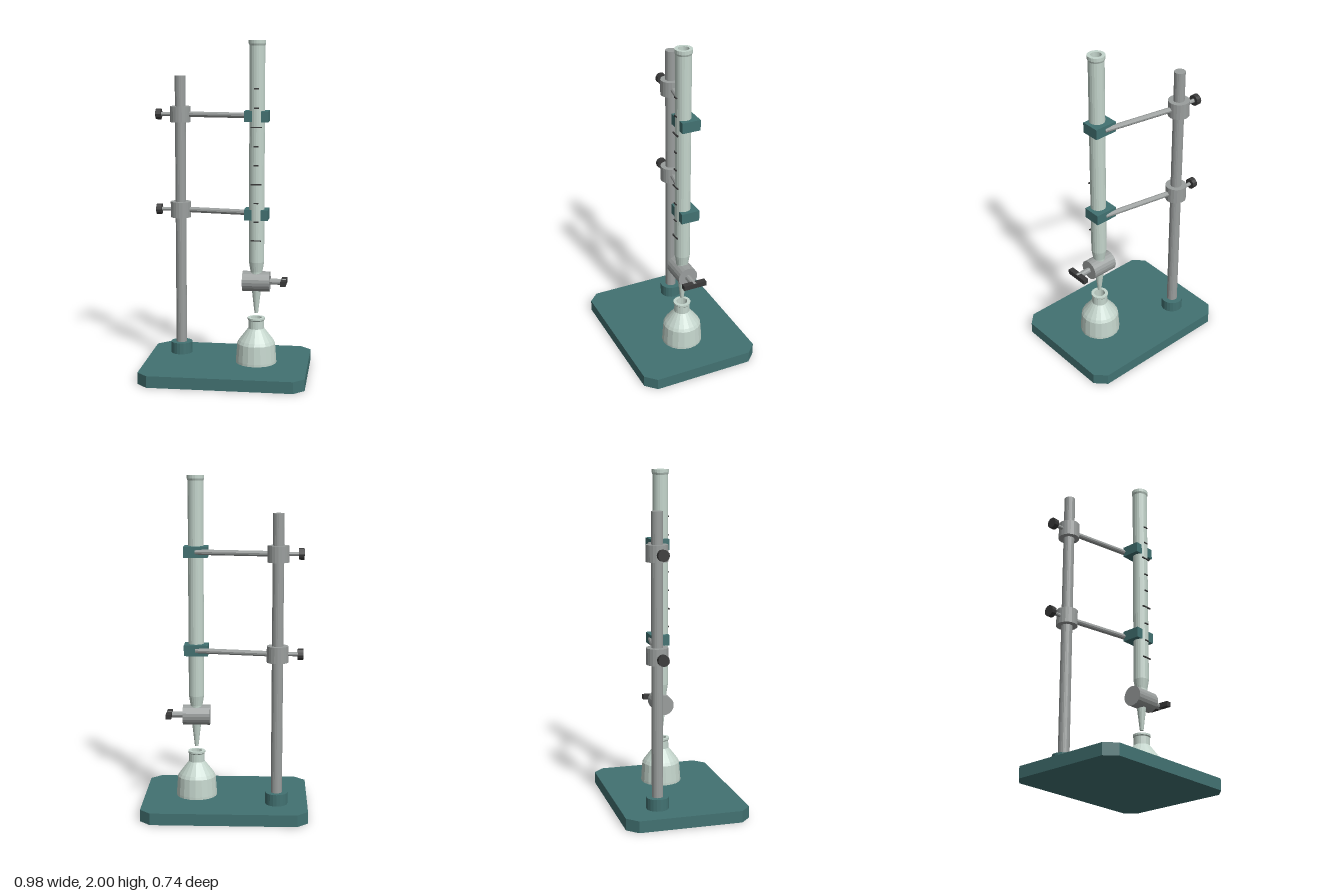
import * as THREE from 'three';

const paint = (color) => new THREE.MeshStandardMaterial({ color, flatShading: true });

export function createModel() {
  const model = new THREE.Group();
  const teal = paint(0x427272);
  const metal = paint(0x9a9e9d);
  const glass = paint(0xc4d5cc);
  const dark = paint(0x3a3a3a);
  const V = (x, y, z) => new THREE.Vector3(x, y, z);

  function add(name, geometry, material, x = 0, y = 0, z = 0) {
    const mesh = new THREE.Mesh(geometry, material);
    mesh.name = name;
    mesh.position.set(x, y, z);
    model.add(mesh);
    return mesh;
  }
  // cylinder or cone running from a to b
  function bar(name, a, b, ra, rb, sides, material) {
    const dir = b.clone().sub(a);
    const mid = a.clone().add(b).multiplyScalar(0.5);
    const mesh = add(name, new THREE.CylinderGeometry(rb, ra, dir.length(), sides), material, mid.x, mid.y, mid.z);
    mesh.quaternion.setFromUnitVectors(V(0, 1, 0), dir.normalize());
    return mesh;
  }
  const lathe = (points, sides) =>
    new THREE.LatheGeometry(points.map(([r, y]) => new THREE.Vector2(r, y)), sides);

  const rodX = -0.307, rodZ = -0.152; // support rod axis
  const tubeX = 0.177;                // burette axis, z = 0

  // base plate with cut corners
  const w = 0.491, d = 0.37, c = 0.063;
  const outline = new THREE.Shape([
    [-w + c, -d], [w - c, -d], [w, -d + c], [w, d - c],
    [w - c, d], [-w + c, d], [-w, d - c], [-w, -d + c],
  ].map(([x, y]) => new THREE.Vector2(x, y)));
  const plate = new THREE.ExtrudeGeometry(outline, { depth: 0.07, bevelEnabled: false });
  plate.rotateX(-Math.PI / 2);
  add('basePlate', plate, teal);

  // support rod and its socket
  bar('rodSocket', V(rodX, 0.065, rodZ), V(rodX, 0.14, rodZ), 0.066, 0.066, 20, teal);
  bar('supportRod', V(rodX, 0.07, rodZ), V(rodX, 1.79, rodZ), 0.033, 0.033, 20, metal);

  // two clamps: boss, thumb screw, arm and jaw
  for (const [side, y] of [['upper', 1.558], ['lower', 0.975]]) {
    bar(side + 'Boss', V(rodX, y - 0.048, rodZ), V(rodX, y + 0.048, rodZ), 0.063, 0.063, 20, metal);
    bar(side + 'Screw', V(-0.43, y, rodZ), V(rodX, y, rodZ), 0.012, 0.012, 10, metal);
    bar(side + 'Knob', V(-0.456, y, rodZ), V(-0.424, y, rodZ), 0.033, 0.033, 12, dark);
    bar(side + 'Arm', V(rodX, y, rodZ), V(tubeX, y, -0.063), 0.0165, 0.0165, 10, metal);
    add(side + 'Jaw', new THREE.BoxGeometry(0.142, 0.064, 0.112), teal, 0.175, y, -0.019);
  }

  // burette tube with a flared open mouth
  add('buretteTube', lathe([
    [0, 0.6], [0.036, 0.6], [0.036, 0.63], [0.046, 0.69], [0.046, 1.968],
    [0.051, 1.98], [0.051, 2], [0.031, 2], [0.031, 1.96], [0, 1.96],
  ], 20), glass, tubeX);

  // graduation marks, every third one long
  for (let i = 0; i < 9; i++) {
    const long = i % 3 === 0;
    add('graduationMark', new THREE.BoxGeometry(long ? 0.064 : 0.028, 0.007, 0.008), dark,
      tubeX, 0.824 + i * 0.112, 0.047);
  }

  // stopcock valve, stem, handle and nozzle
  bar('valveBody', V(0.095, 0.57, 0), V(0.258, 0.57, 0), 0.061, 0.061, 20, metal);
  bar('valveStem', V(0.25, 0.57, 0), V(0.354, 0.57, 0), 0.018, 0.018, 10, metal);
  add('valveHandle', new THREE.BoxGeometry(0.032, 0.03, 0.144), dark, 0.342, 0.57, 0);
  bar('nozzle', V(tubeX, 0.376, 0), V(tubeX, 0.53, 0), 0.011, 0.029, 16, glass);

  // conical flask with a lipped mouth
  add('flask', lathe([
    [0, 0.071], [0.123, 0.071], [0.123, 0.085], [0.115, 0.19], [0.105, 0.208], [0.048, 0.282],
    [0.047, 0.33], [0.052, 0.336], [0.052, 0.347], [0.033, 0.347], [0.033, 0.29], [0, 0.29],
  ], 20), glass, tubeX);

  return model;
}
